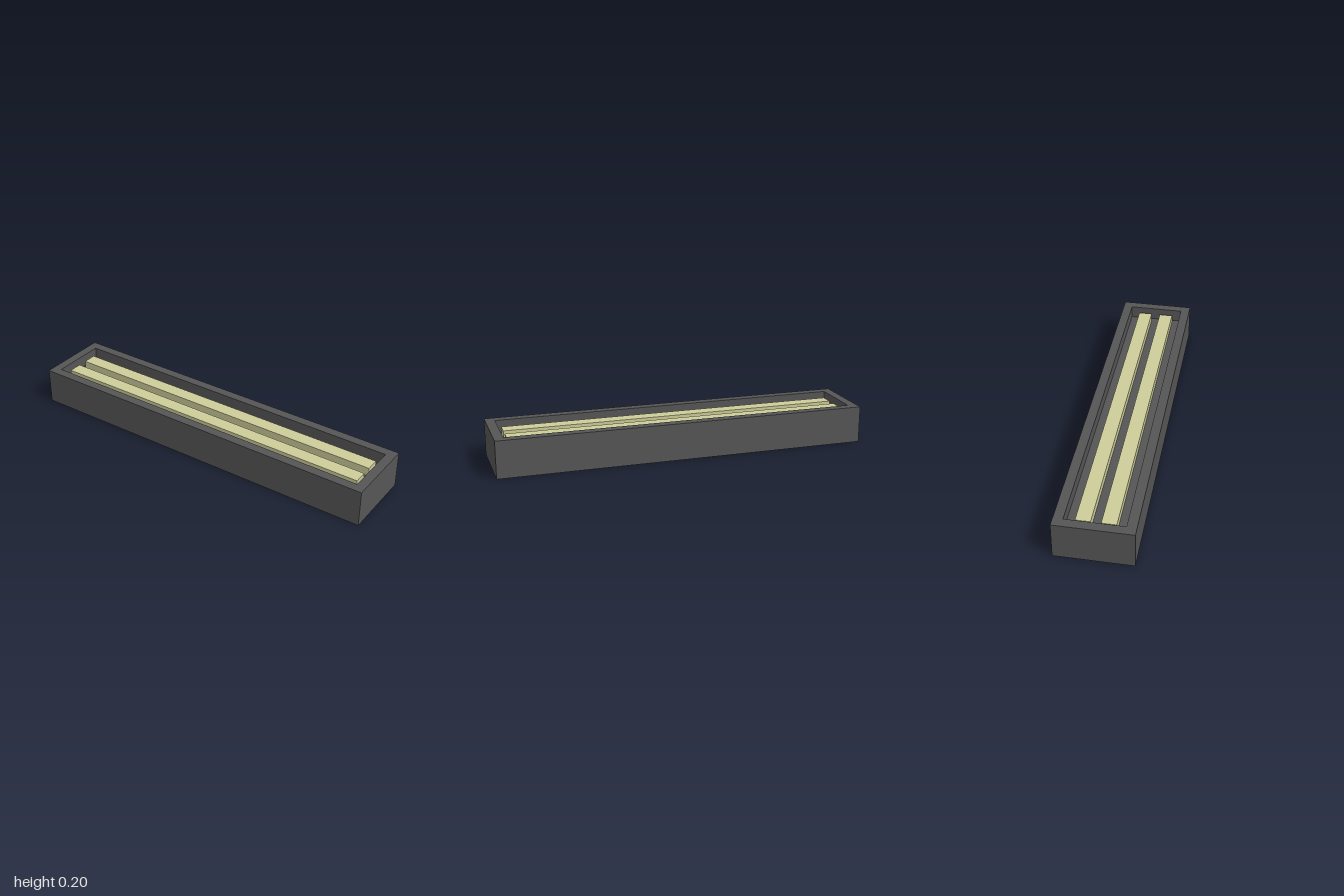
import * as THREE from 'three';

const FLOOR = 0.13; // height of the recess floor
const corners = [[1, 1], [1, -1], [-1, -1], [-1, 1]];

// Joins rectangular rings [y, halfX, halfZ] into a hard-edged skin, open at both ends
function ringSkin(rings) {
  const point = ([y, hx, hz], i) => [corners[i % 4][0] * hx, y, corners[i % 4][1] * hz];
  const positions = [];
  for (let r = 0; r < rings.length - 1; r++) {
    for (let i = 0; i < 4; i++) {
      const a = point(rings[r], i), b = point(rings[r], i + 1);
      const c = point(rings[r + 1], i + 1), d = point(rings[r + 1], i);
      positions.push(...a, ...b, ...c, ...a, ...c, ...d);
    }
  }
  const geometry = new THREE.BufferGeometry();
  geometry.setAttribute('position', new THREE.Float32BufferAttribute(positions, 3));
  geometry.computeVertexNormals();
  return geometry;
}

// Rectangle outline for the floor and its openings
const rectangle = (hx, hz, z) => corners.map(([x, s]) => new THREE.Vector2(x * hx, s * hz - z));

export function createModel() {
  const model = new THREE.Group();
  model.name = 'lightFixture';
  const housingMaterial = new THREE.MeshStandardMaterial({ color: 0x555555, side: THREE.DoubleSide });
  const lampMaterial = new THREE.MeshStandardMaterial({ color: 0xcccc99, side: THREE.DoubleSide });
  const add = (parent, name, geometry, material) => {
    const mesh = new THREE.Mesh(geometry, material);
    mesh.name = name;
    parent.add(mesh);
    return mesh;
  };
  const lampX = 0.925, lampZ = 0.0375, lampTop = 0.178, lampOffset = 0.0625;

  // Housing: thin outer walls open underneath, top rim and recess walls
  add(model, 'housing', ringSkin([[0, 1, 0.2], [0.2, 1, 0.2], [0.2, 0.95, 0.15], [FLOOR, 0.95, 0.15]]), housingMaterial);

  // Recess floor with an opening under each lamp
  const floorShape = new THREE.Shape(rectangle(0.95, 0.15, 0));
  for (const side of [-1, 1]) {
    floorShape.holes.push(new THREE.Path(rectangle(lampX, lampZ, side * lampOffset)));
  }
  const floorGeometry = new THREE.ShapeGeometry(floorShape).rotateX(-Math.PI / 2);
  add(model, 'recessFloor', floorGeometry, housingMaterial).position.y = FLOOR;

  // Hollow lamp bars: four walls and a top, open underneath
  for (const side of [-1, 1]) {
    const lamp = new THREE.Group();
    lamp.name = side > 0 ? 'frontLamp' : 'backLamp';
    lamp.position.z = side * lampOffset;
    add(lamp, 'lampSides', ringSkin([[FLOOR, lampX, lampZ], [lampTop, lampX, lampZ]]), lampMaterial);
    const top = new THREE.PlaneGeometry(lampX * 2, lampZ * 2).rotateX(-Math.PI / 2);
    add(lamp, 'lampTop', top, lampMaterial).position.y = lampTop;
    model.add(lamp);
  }
  return model;
}
